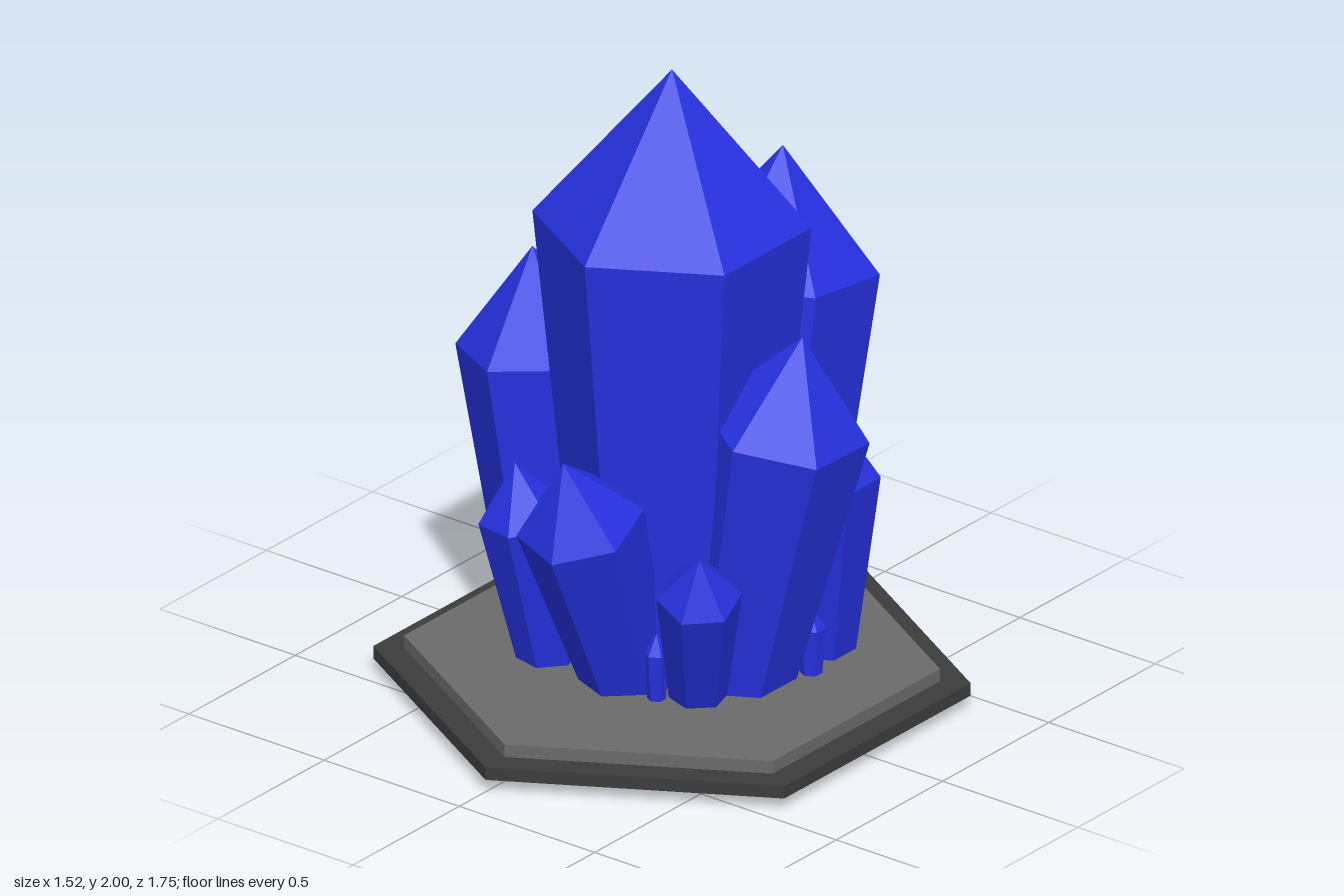
import * as THREE from 'three';

const material = (name, color) => {
  const m = new THREE.MeshStandardMaterial({ color, flatShading: true });
  m.name = name;
  return m;
};

// Six-sided crystal that widens to a shoulder at 3/4 of its length, then ends in a point
function crystal(name, base, tip, radius, twistDegrees, mat) {
  const from = new THREE.Vector3(...base);
  const axis = new THREE.Vector3(...tip).sub(from);
  const length = axis.length();
  const profile = [
    [0, 0], [radius * 0.65, 0], [radius, length * 0.75], [0, length],
  ].map(([r, y]) => new THREE.Vector2(r, y));
  const geometry = new THREE.LatheGeometry(profile, 6);
  geometry.rotateY(THREE.MathUtils.degToRad(twistDegrees));
  const mesh = new THREE.Mesh(geometry, mat);
  mesh.name = name;
  mesh.position.copy(from);
  mesh.quaternion.setFromUnitVectors(new THREE.Vector3(0, 1, 0), axis.normalize());
  return mesh;
}

// Hexagonal slab with corners pointing to the front and back
function slab(name, radius, bottom, top, mat) {
  const mesh = new THREE.Mesh(new THREE.CylinderGeometry(radius, radius, top - bottom, 6), mat);
  mesh.name = name;
  mesh.position.y = (bottom + top) / 2;
  return mesh;
}

export function createModel() {
  const model = new THREE.Group();
  model.name = 'crystalCluster';
  const blue = material('crystalBlue', 0x2631e0);
  const darkGrey = material('darkStone', 0x3c3c3c);
  const grey = material('greyStone', 0x6a6a6a);

  // Stepped base
  model.add(slab('lowerBase', 0.877, 0.04, 0.08, darkGrey));
  model.add(slab('upperBase', 0.787, 0.08, 0.12, grey));

  // Crystals: name, base centre, tip, shoulder radius, twist
  const crystals = [
    ['mainCrystal', [0, 0.07, 0], [0, 2, 0], 0.41, 0],
    ['backCrystal', [0.02, 0.075, -0.37], [-0.025, 1.54, -0.553], 0.305, 0],
    ['rightCrystal', [-0.39, 0.075, 0.015], [-0.5, 1.29, 0.02], 0.25, 0],
    ['leftCrystal', [0.235, 0.075, 0], [0.453, 1.257, -0.037], 0.25, 0],
    ['frontCrystal', [0, 0.042, 0.19], [-0.01, 0.915, 0.5], 0.19, 10],
    ['frontRightCrystal', [-0.27, 0.075, 0.23], [-0.31, 0.77, 0.345], 0.135, 18],
    ['frontLeftCrystal', [0.23, 0.075, 0.17], [0.365, 0.653, 0.335], 0.125, 14],
    ['backLeftCrystal', [0.31, 0.075, -0.3], [0.375, 0.915, -0.27], 0.155, 0],
    ['backRightCrystal', [-0.335, 0.075, -0.335], [-0.345, 1.01, -0.355], 0.185, 0],
    ['smallBackCrystal', [0.18, 0.075, -0.38], [0.25, 0.585, -0.435], 0.085, 0],
    ['smallRightCrystal', [-0.49, 0.075, -0.19], [-0.53, 0.64, -0.22], 0.095, 0],
    ['tinyFrontCrystal', [0.155, 0.075, 0.27], [0.155, 0.33, 0.27], 0.038, 0],
    ['tinyRightCrystal', [-0.355, 0.075, 0.22], [-0.355, 0.33, 0.22], 0.038, 0],
    ['tinyLeftCrystal', [0.4, 0.075, -0.145], [0.4, 0.33, -0.145], 0.045, 0],
  ];
  for (const [name, base, tip, radius, twist] of crystals) {
    model.add(crystal(name, base, tip, radius, twist, blue));
  }
  return model;
}
